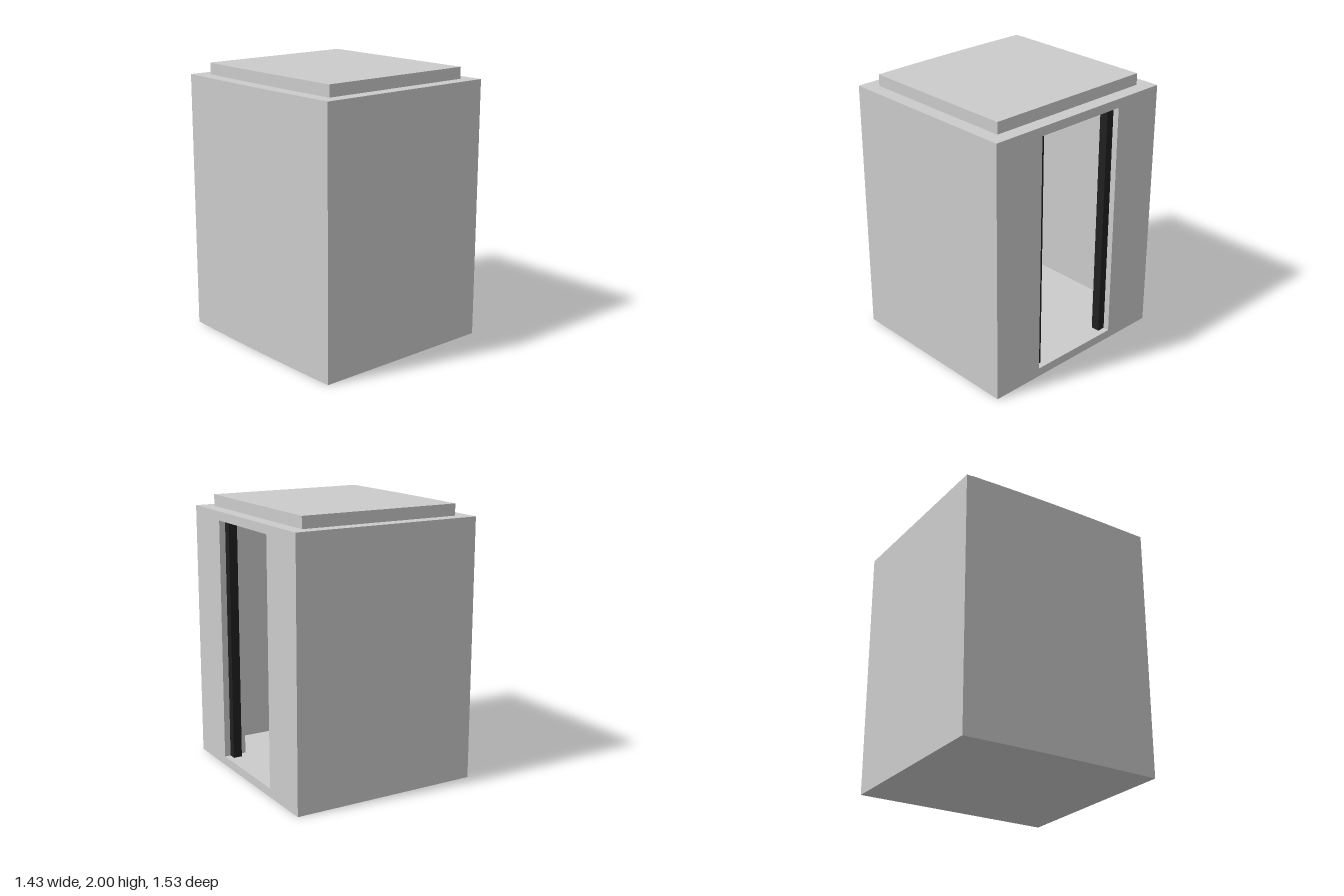
import * as THREE from 'three';

const grey = new THREE.MeshStandardMaterial({ color: 0xcccccc });
const dark = new THREE.MeshStandardMaterial({ color: 0x202020 });

const RIGHT = 0.713, HALF_Z = 0.765, WALL = 0.05;
const FLOOR = 0.065, CEILING = 1.85, ROOF = 1.915, TOP = 2;
const DOOR_Z = 0.365, DOOR_WALL = 0.17;

// Points along the gently bowed -x side, from -z to +z
function bowedSide(inset) {
  const points = [], steps = 16, half = HALF_Z - inset;
  for (let i = 0; i <= steps; i++) {
    const t = (2 * i) / steps - 1;
    points.push(new THREE.Vector2(-0.715 + inset + 0.011 * t * t, half * t));
  }
  return points;
}

// Closed plan: straight on three sides, bowed on -x
function plan(inset) {
  const half = HALF_Z - inset, x = RIGHT - inset;
  return new THREE.Shape([
    new THREE.Vector2(x, half),
    new THREE.Vector2(x, -half),
    ...bowedSide(inset),
  ]);
}

// Raise a plan from y0 to y1
function raise(name, shape, y0, y1) {
  const geometry = new THREE.ExtrudeGeometry(shape, { depth: y1 - y0, bevelEnabled: false });
  geometry.rotateX(-Math.PI / 2).translate(0, y0, 0);
  const mesh = new THREE.Mesh(geometry, grey);
  mesh.name = name;
  return mesh;
}

// Wall plan: a ring around the cabin, broken by the doorway on +x
function wallPlan() {
  const innerX = RIGHT - DOOR_WALL, innerZ = HALF_Z - WALL;
  const v = (x, z) => new THREE.Vector2(x, z);
  return new THREE.Shape([
    v(RIGHT, -DOOR_Z), v(RIGHT, -HALF_Z),
    ...bowedSide(0),
    v(RIGHT, HALF_Z), v(RIGHT, DOOR_Z),
    v(innerX, DOOR_Z), v(innerX, innerZ),
    ...bowedSide(WALL).reverse(),
    v(innerX, -innerZ), v(innerX, -DOOR_Z),
  ]);
}

export function createModel() {
  const group = new THREE.Group();
  group.name = 'cabin';

  // Shell
  group.add(
    raise('floor', plan(0), 0, FLOOR),
    raise('walls', wallPlan(), FLOOR, CEILING),
    raise('ceiling', plan(0), CEILING, ROOF),
    raise('roofCap', plan(0.102), ROOF, TOP),
  );

  // Edges of the open sliding doors, one on each side of the doorway
  for (const side of [1, -1]) {
    const door = new THREE.Mesh(new THREE.BoxGeometry(0.065, CEILING - FLOOR, 0.06), dark);
    door.name = side > 0 ? 'frontDoorEdge' : 'backDoorEdge';
    door.position.set(0.635, (FLOOR + CEILING) / 2, side * (DOOR_Z - 0.03));
    group.add(door);
  }
  return group;
}
